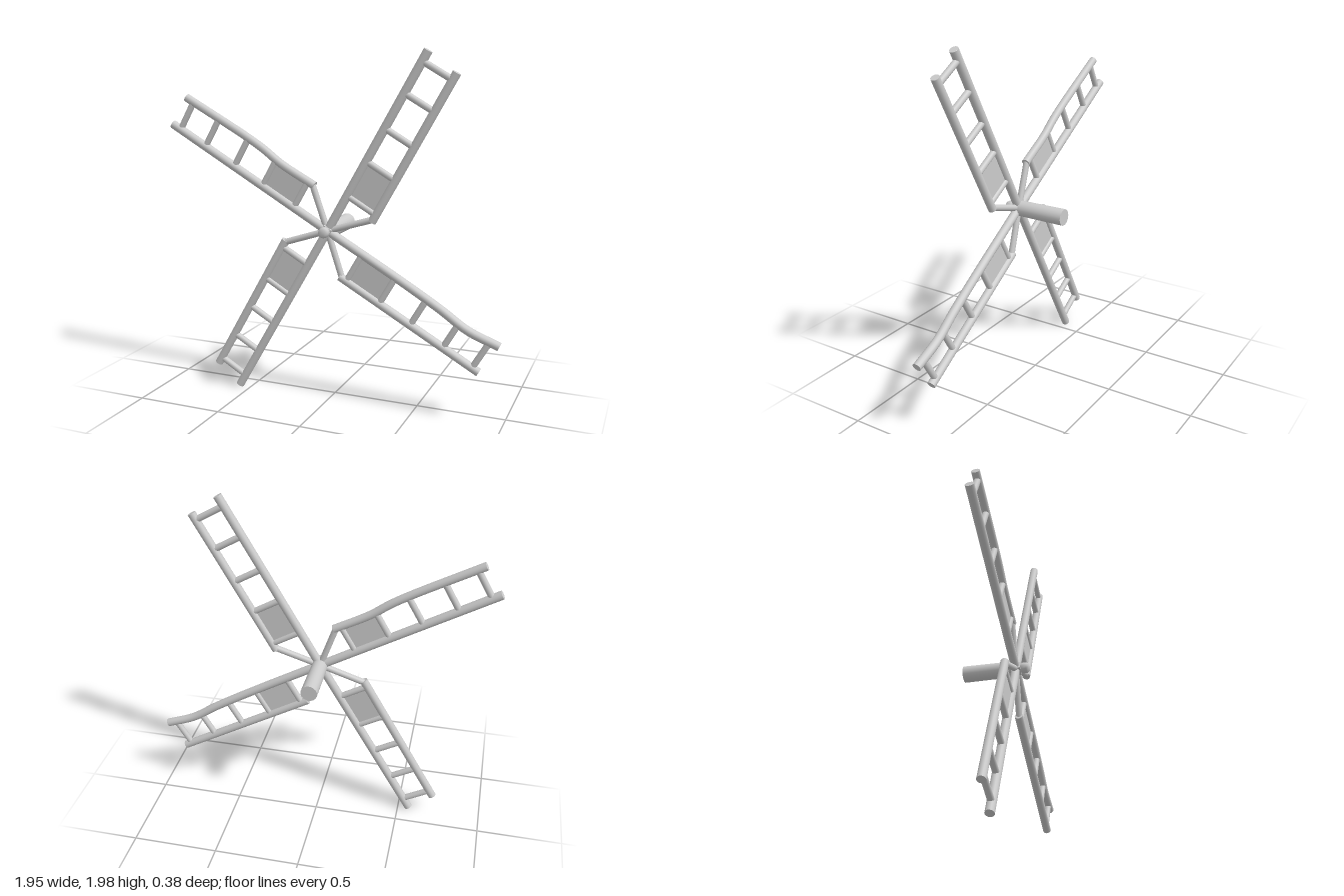
import * as THREE from 'three';

const material = new THREE.MeshStandardMaterial({ color: 0xcccccc });
const HUB_Y = 1.013, HUB_Z = 0.111;

function add(parent, name, geometry) {
  const mesh = new THREE.Mesh(geometry, material);
  mesh.name = name;
  parent.add(mesh);
  return mesh;
}

// Round pole through a few points, closed by flat discs
function pole(parent, name, points, radius) {
  const group = new THREE.Group();
  group.name = name;
  const vectors = points.map(p => new THREE.Vector3(...p));
  const curve = vectors.length === 2
    ? new THREE.LineCurve3(vectors[0], vectors[1])
    : new THREE.CatmullRomCurve3(vectors);
  add(group, name + 'Shaft', new THREE.TubeGeometry(curve, vectors.length === 2 ? 1 : 32, radius, 14));
  for (const t of [0, 1]) {
    const cap = add(group, name + 'End', new THREE.CircleGeometry(radius, 14));
    cap.position.copy(curve.getPoint(t));
    const outward = curve.getTangent(t).multiplyScalar(t ? 1 : -1);
    cap.quaternion.setFromUnitVectors(new THREE.Vector3(0, 0, 1), outward);
  }
  parent.add(group);
}

// Each sail runs along local +x, with its outer rail on the -y side.
// spar and rail hold [x, y] points; tipZ is the depth offset at the tip.
const STRAIGHT_SPAR = [[0, 0], [1.115, 0]];
const STRAIGHT_RAIL = [[0.19, -0.184], [1.1, -0.18]];
const SAILS = [
  { angle: 60, tipZ: 0, spar: [[0, 0], [1.12, 0.008]], rail: [[0.19, -0.19], [1.1, -0.178]] },
  { angle: 150, tipZ: 0.009, spar: STRAIGHT_SPAR,
    rail: [[0.19, -0.176], [0.42, -0.172], [0.55, -0.186], [0.67, -0.19], [1.108, -0.182]] },
  { angle: 240, tipZ: 0.006, spar: [[0, 0], [1.13, 0]], rail: [[0.19, -0.184], [1.1, -0.18]] },
  { angle: 330, tipZ: -0.02, rail: STRAIGHT_RAIL,
    spar: [[0, 0], [0.5, 0], [0.75, -0.006], [0.93, -0.018], [1.112, 0.008]] },
];

function createSail({ angle, tipZ, spar, rail }) {
  const sail = new THREE.Group();
  sail.name = 'sail';
  const lift = ([x, y]) => [x, y, tipZ * x / 1.1];
  pole(sail, 'spar', spar.map(lift), 0.0245);
  pole(sail, 'outerRail', rail.map(lift), 0.0235);
  pole(sail, 'strut', [[0, 0, 0], lift([rail[0][0] + 0.015, rail[0][1]])], 0.018);
  for (const x of [0.235, 0.455, 0.66, 0.872, 1.058])
    pole(sail, 'rung', [lift([x, 0]), lift([x, -0.18])], 0.018);
  // Thin board filling the innermost bay
  const board = add(sail, 'board', new THREE.BoxGeometry(0.21, 0.18, 0.012));
  board.position.set(...lift([0.345, -0.09]));
  board.rotation.y = -tipZ / 1.1;
  sail.rotation.z = THREE.MathUtils.degToRad(angle);
  sail.position.set(0, HUB_Y, HUB_Z);
  return sail;
}

export function createModel() {
  const model = new THREE.Group();
  model.name = 'windmillSails';
  for (const spec of SAILS) model.add(createSail(spec));

  // Axle running back from the hub
  const axle = add(model, 'axle', new THREE.CylinderGeometry(0.045, 0.047, 0.28, 20));
  axle.rotation.x = Math.PI / 2;
  axle.position.set(0, HUB_Y, -0.048);

  // Square block where the spars cross
  const hub = add(model, 'hub', new THREE.BoxGeometry(0.052, 0.052, 0.06));
  hub.position.set(0, HUB_Y, 0.112);
  hub.rotation.z = Math.PI / 3;

  // Chamfered cap on the front
  const profile = [[0, 0], [0.022, 0], [0.03, 0.014], [0.03, 0.04], [0.021, 0.053], [0, 0.053]];
  const capGeometry = new THREE.LatheGeometry(profile.map(p => new THREE.Vector2(...p)), 12);
  const cap = add(model, 'hubCap', capGeometry);
  cap.rotation.x = Math.PI / 2;
  cap.position.set(0, HUB_Y, 0.135);
  return model;
}
